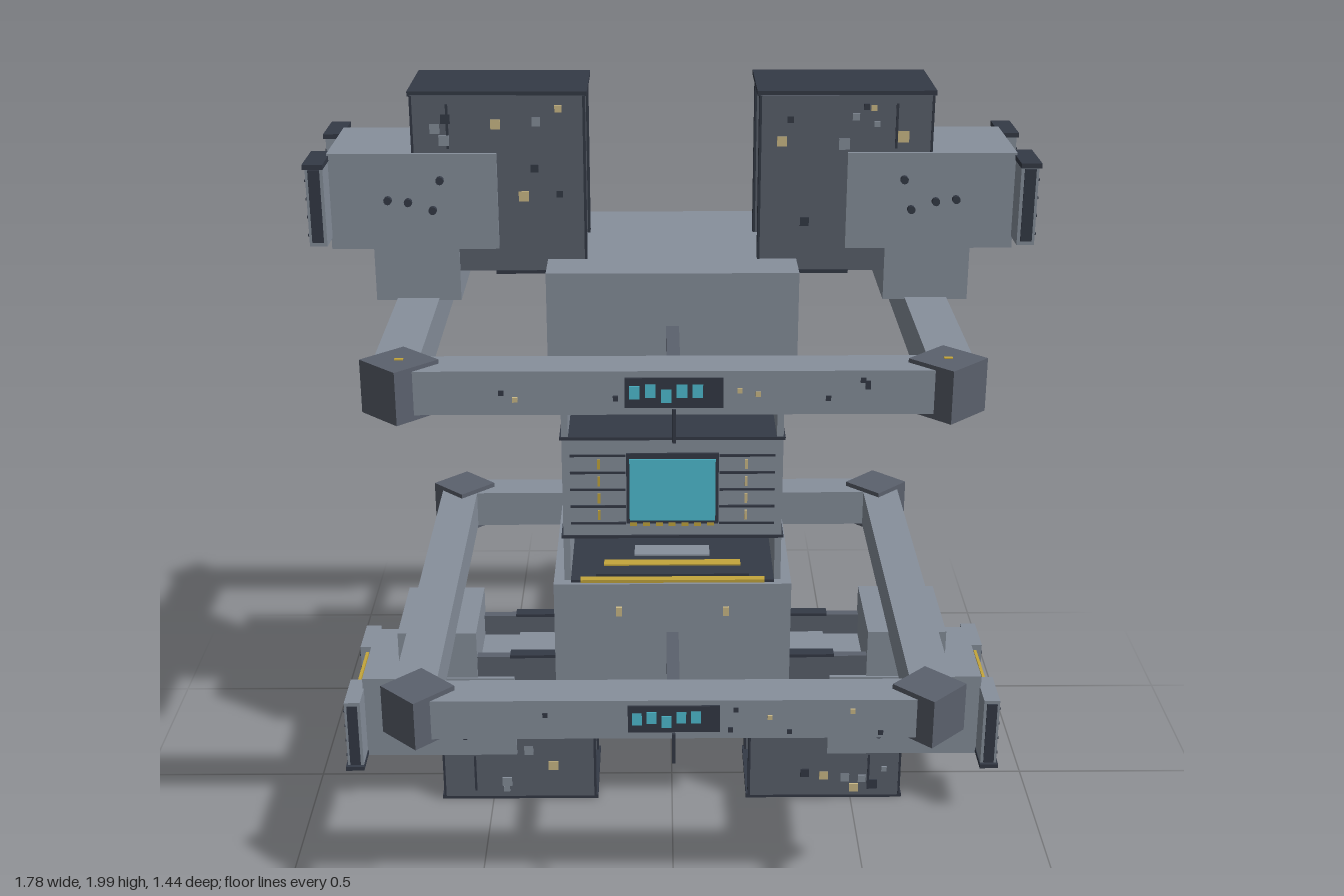
import * as THREE from 'three';

const material = (name, color) => {
  const m = new THREE.MeshStandardMaterial({ color });
  m.name = name;
  return m;
};

export function createModel() {
  const hull = material('hull grey', 0x87909c);
  const mid = material('slate grey', 0x5b616d);
  const dark = material('dark trim', 0x343a46);
  const cyan = material('cyan glass', 0x50c0d4);
  const gold = material('gold', 0xc4a63c);
  const cream = material('cream', 0xcdbb88);

  const model = new THREE.Group();
  model.name = 'station';

  let seed = 7;
  const rnd = () => (seed = (seed * 16807) % 2147483647) / 2147483647;
  const range = (a, b) => a + (b - a) * rnd();

  // Box from its limits on each axis
  const box = (parent, name, mat, x0, x1, y0, y1, z0, z1) => {
    const mesh = new THREE.Mesh(
      new THREE.BoxGeometry(Math.abs(x1 - x0), Math.abs(y1 - y0), Math.abs(z1 - z0)), mat);
    mesh.position.set((x0 + x1) / 2, (y0 + y1) / 2, (z0 + z1) / 2);
    mesh.name = name;
    parent.add(mesh);
    return mesh;
  };
  const group = (parent, name) => {
    const g = new THREE.Group();
    g.name = name;
    parent.add(g);
    return g;
  };

  // One half: hub, ring, two arms and bays. The lower half is flipped in y.
  const buildHalf = (name, lower) => {
    const half = group(model, name);
    const Y = y => (lower ? 2.007 - y : y);
    const b = (parent, n, m, x0, x1, y0, y1, z0, z1) =>
      box(parent, n, m, x0, x1, Y(y0), Y(y1), z0, z1);

    // Hub
    b(half, 'hub', hull, -0.31, 0.31, 1.27, 1.58, -0.265, 0.26);
    b(half, 'hubEdgeTrim', dark, -0.265, 0.265, 1.262, 1.27, -0.25, 0.25);
    for (const x of [-0.14, 0.14]) for (const z of [0.262, -0.267])
      b(half, 'hubLamp', lower ? cream : dark, x - 0.008, x + 0.008, 1.335, 1.36, z - 0.006, z + 0.006);

    // Square ring with diagonal corner nodes
    const ring = group(half, 'ring');
    for (const s of [-1, 1]) {
      b(ring, 'ringBeamX', hull, -0.6, 0.6, 1.375, 1.48, s * 0.58, s * 0.685);
      b(ring, 'ringBeamZ', hull, s * 0.585, s * 0.69, 1.375, 1.48, -0.6, 0.6);
      b(ring, 'ringSpoke', mid, -0.016, 0.016, 1.41, 1.445, s * 0.255, s * 0.585);
      for (const t of [-1, 1]) {
        const node = b(ring, 'ringCorner', mid, -0.064, 0.064, 1.362, 1.49, -0.064, 0.064);
        node.position.x = s * 0.627;
        node.position.z = t * 0.63;
        node.rotation.y = Math.PI / 4;
        const cap = b(ring, 'cornerMark', gold, -0.01, 0.01, 1.49, 1.492, -0.006, 0.006);
        cap.position.x = s * 0.627;
        cap.position.z = t * 0.63;
      }
      // Studs scattered along the beams
      for (let i = 0; i < 9; i++) {
        const a = range(-0.52, 0.52), y = range(1.39, 1.465), r = 0.006;
        const m = i % 4 ? dark : cream;
        b(ring, 'beamStud', m, a - r, a + r, y - r, y + r, s * 0.684, s * 0.689);
        b(ring, 'beamStud', m, s * 0.689, s * 0.694, y - r, y + r, a - r, a + r);
      }
    }

    // Side arms and open bays
    for (const s of [-1, 1]) {
      const arm = group(half, s > 0 ? 'leftArm' : 'rightArm');
      const a = (n, m, x0, x1, y0, y1, z0, z1) => b(arm, n, m, s * x0, s * x1, y0, y1, z0, z1);

      a('armPedestal', hull, 0.53, 0.742, 1.475, 1.615, -0.14, 0.14);
      a('armBlock', hull, 0.43, 0.845, 1.61, 1.85, -0.146, 0.146);
      a('armInnerBlock', hull, 0.24, 0.43, 1.6, 1.77, -0.105, 0.105);

      // Bay: two walls, cap plate and end post
      for (const t of [-1, 1]) {
        a('bayWall', mid, 0.215, 0.635, 1.55, 1.99, t * 0.11, t * 0.135);
        for (const x of [0.212, 0.632])
          a('bayWallEdge', dark, x, x + 0.006, 1.55, 1.99, t * 0.108, t * 0.137);
        a('bayFootRail', dark, 0.24, 0.44, 1.543, 1.552, t * 0.105, t * 0.139);
        a('baySlot', dark, 0.545, 0.551, 1.86, 1.97, t * 0.134, t * 0.138);
        for (let i = 0; i < 9; i++) {
          const x = range(0.25, 0.6), y = x > 0.42 ? range(1.87, 1.97) : range(1.6, 1.96);
          const r = range(0.007, 0.014);
          a('wallPatch', [hull, dark, cream][i % 3], x - r, x + r, y - r, y + r, t * 0.134, t * 0.139);
        }
        // Round fittings on the arm
        for (const [x, y] of [[0.7, 1.735], [0.65, 1.73], [0.59, 1.71], [0.57, 1.785]]) {
          const stud = new THREE.Mesh(new THREE.CylinderGeometry(0.01, 0.01, 0.02, 10), dark);
          stud.rotation.x = Math.PI / 2;
          stud.position.set(s * x, Y(y), t * 0.15);
          stud.name = 'armFitting';
          arm.add(stud);
        }
      }
      a('bayCap', dark, 0.207, 0.643, 1.988, 2, -0.132, 0.132);
      a('bayPost', dark, 0.6, 0.63, 1.84, 1.99, -0.014, 0.014);

      // Docking port with a slatted pod on each side
      a('portPanel', dark, 0.843, 0.849, 1.645, 1.81, -0.092, 0.092);
      for (const y of [1.66, 1.8])
        a('portRail', y < 1.7 ? gold : hull, 0.862, 0.87, y - 0.004, y + 0.004, -0.1, 0.1);
      for (const t of [-1, 1]) {
        a('pod', hull, 0.842, 0.885, 1.64, 1.835, t * 0.095, t * 0.226);
        a('podCap', dark, 0.84, 0.89, 1.833, 1.845, t * 0.09, t * 0.235);
        a('podSideTrim', dark, 0.85, 0.878, 1.65, 1.83, t * 0.225, t * 0.23);
        for (let i = 0; i < 4; i++) {
          const y = 1.665 + i * 0.045;
          a('podSlat', dark, 0.884, 0.888, y, y + 0.005, t * 0.098, t * 0.224);
          a('podMark', t * s > 0 ? cream : gold, 0.884, 0.889, y + 0.012, y + 0.036, t * 0.158, t * 0.164);
        }
      }
    }

    // Front display on the ring, with its hanging antenna
    const cy = lower ? 0.583 : 1.429;
    box(half, 'displayFrame', dark, -0.112, 0.112, cy - 0.036, cy + 0.036, 0.683, 0.69);
    for (let i = 0; i < 5; i++) {
      const x = -0.09 + i * 0.036, d = [0, 0.004, -0.008, 0.004, 0.004][i];
      box(half, 'displayCell', cyan, x - 0.012, x + 0.012, cy - 0.015 + d, cy + 0.017 + d, 0.689, 0.692);
    }
    box(half, 'antenna', dark, -0.004, 0.004, cy - 0.122, cy - 0.04, 0.686, 0.694);

    // End section of the core with an opening at the front
    const bay = group(half, 'coreBay');
    b(bay, 'coreBayBack', hull, -0.282, 0.282, 1.143, 1.265, -0.243, -0.02);
    for (const s of [-1, 1])
      b(bay, 'coreBaySide', hull, s * 0.265, s * 0.282, 1.143, 1.265, -0.02, 0.243);
    b(bay, 'bayFloorPlate', dark, -0.2, 0.2, 1.255, 1.262, 0.03, 0.23);
    b(bay, 'bayFloorStripe', gold, -0.18, 0.18, 1.251, 1.256, 0.15, 0.18);
    b(bay, 'bayFloorPanel', hull, -0.1, 0.1, 1.251, 1.256, 0.06, 0.12);
    b(bay, 'coreBand', dark, -0.287, 0.287, 1.136, 1.144, -0.247, 0.247);
  };
  buildHalf('upperHalf', false);
  buildHalf('lowerHalf', true);

  // Middle of the core
  const core = group(model, 'core');
  box(core, 'coreBlock', hull, -0.282, 0.282, 0.868, 1.139, -0.243, 0.243);
  box(core, 'rearGoldStrip', gold, -0.28, 0.28, 0.738, 0.752, -0.287, -0.24);
  box(core, 'frontGoldStrip', gold, -0.24, 0.24, 0.742, 0.75, 0.24, 0.262);
  for (const y of [0.94, 1.005, 1.07])
    box(core, 'rearSeam', dark, -0.26, 0.26, y - 0.003, y + 0.003, -0.246, -0.242);
  for (const y of [0.8, 0.9, 0.97, 1.04, 1.11, 1.2])
    for (const x of [-0.15, 0, 0.15])
      box(core, 'rearClip', dark, x - 0.02, x + 0.02, y - 0.005, y + 0.005, -0.25, -0.242);

  // Main window with slatted panels on both sides
  box(core, 'windowFrame', dark, -0.118, 0.118, 0.905, 1.1, 0.242, 0.249);
  box(core, 'windowGlass', cyan, -0.11, 0.11, 0.915, 1.085, 0.248, 0.252);
  for (let i = 0; i < 7; i++) {
    const x = -0.1 + i * 0.033;
    box(core, 'windowSillMark', gold, x - 0.009, x + 0.009, 0.9, 0.908, 0.242, 0.252);
  }
  for (const s of [-1, 1]) {
    for (let i = 0; i < 5; i++) {
      const y = 0.905 + i * 0.047;
      box(core, 'frontSlat', dark, s * 0.12, s * 0.262, y - 0.003, y + 0.003, 0.242, 0.247);
      if (i < 4) box(core, 'slatMark', s < 0 ? gold : cream, s * 0.185, s * 0.192, y + 0.01, y + 0.036, 0.242, 0.247);
    }
    // Small patches on the core sides
    for (let i = 0; i < 9; i++) {
      const y = range(0.89, 1.12), z = range(-0.2, 0.2), r = 0.008;
      box(core, 'sidePatch', [dark, mid, cream, dark][i % 4], s * 0.28, s * 0.286, y - r, y + r, z - r, z + r);
    }
  }
  return model;
}
